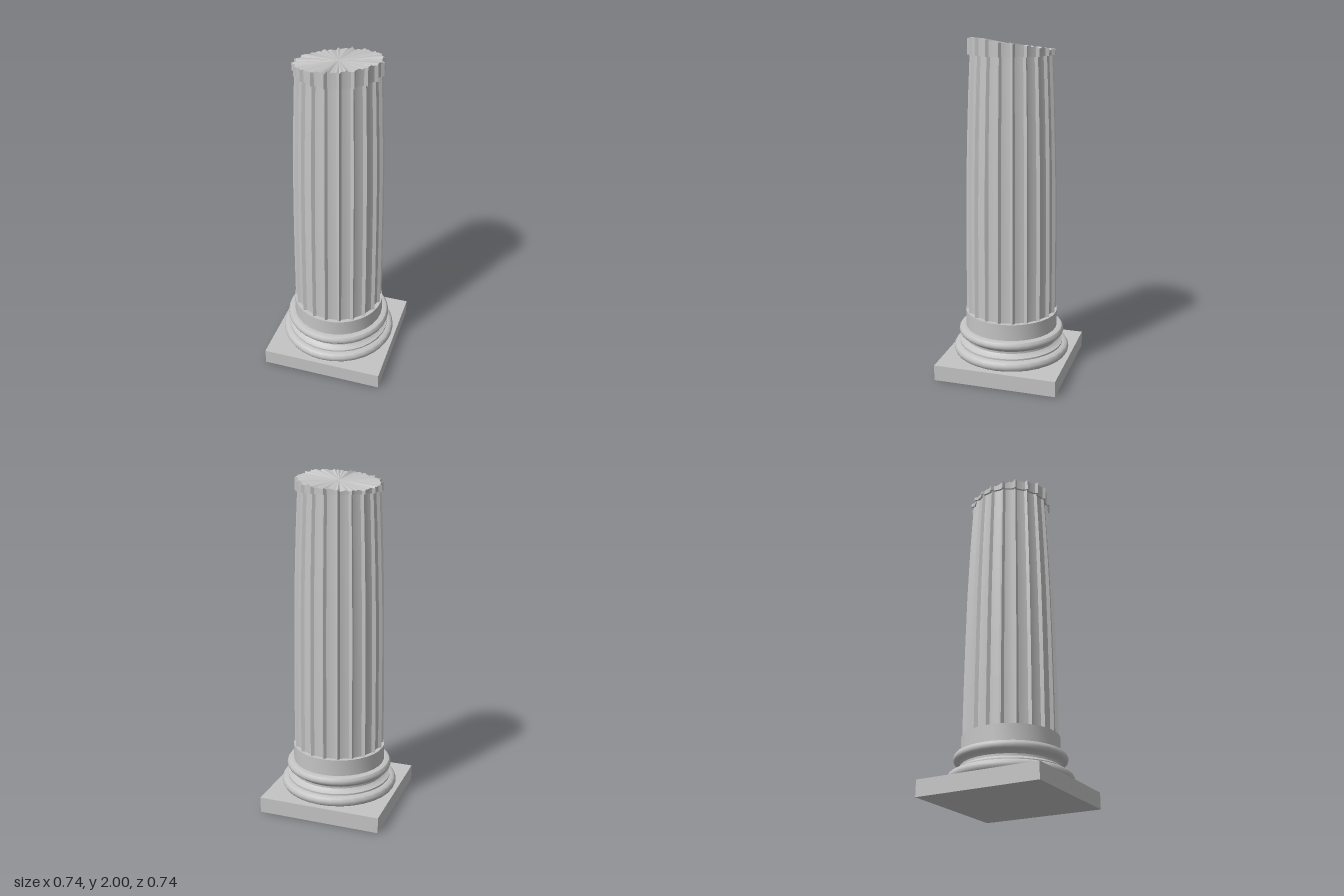
import * as THREE from 'three';
import { toCreasedNormals } from 'three/addons/utils/BufferGeometryUtils.js';

const FLUTES = 20, STEPS = 6, N = FLUTES * STEPS;

// Small seeded generator for the broken edge
function seeded(seed) {
  return () => {
    seed = (seed * 16807) % 2147483647;
    return seed / 2147483647;
  };
}

// Radius of a fluted section: sharp arrises at r, hollows cut in by depth
function fluted(i, r, depth) {
  const u = (i % STEPS) / STEPS * 2 - 1;
  return r - depth * Math.sqrt(Math.max(0, 1 - u * u * (0.5 + 0.5 * u * u)));
}

// Skin between rings; each ring is i => [radius, height]
function loft(rings) {
  const pos = [], idx = [];
  for (const ring of rings) {
    for (let i = 0; i < N; i++) {
      const [r, y] = ring(i), a = i / N * Math.PI * 2;
      pos.push(r * Math.cos(a), y, r * Math.sin(a));
    }
  }
  for (let j = 0; j < rings.length - 1; j++) {
    for (let i = 0; i < N; i++) {
      const a = j * N + i, b = j * N + (i + 1) % N, c = a + N, d = b + N;
      idx.push(a, c, b);
      if (j < rings.length - 2 || !rings.closed) idx.push(b, c, d);
    }
  }
  const geo = new THREE.BufferGeometry();
  geo.setAttribute('position', new THREE.Float32BufferAttribute(pos, 3));
  geo.setIndex(idx);
  return toCreasedNormals(geo, 0.5);
}

export function createModel() {
  const group = new THREE.Group();
  const stone = new THREE.MeshStandardMaterial({ color: 0xc4c4c4 });
  stone.name = 'grey stone';
  const add = (name, geo) => {
    const mesh = new THREE.Mesh(geo, stone);
    mesh.name = name;
    group.add(mesh);
    return mesh;
  };

  // Square plinth
  add('plinth', new THREE.BoxGeometry(0.74, 0.095, 0.74)).position.y = 0.0475;

  // Moulded base: lower torus, scotia, upper torus, plain drum
  const profile = [
    [0.33, 0.094], [0.345, 0.103], [0.353, 0.118], [0.353, 0.132], [0.345, 0.147], [0.33, 0.155],
    [0.315, 0.156], [0.315, 0.166], [0.295, 0.173], [0.283, 0.186], [0.283, 0.198], [0.292, 0.21],
    [0.305, 0.215], [0.315, 0.222], [0.321, 0.235], [0.319, 0.25], [0.31, 0.262], [0.298, 0.266],
    [0.279, 0.266], [0.279, 0.365], [0, 0.365],
  ].map(([x, y]) => new THREE.Vector2(x, y));
  add('mouldedBase', toCreasedNormals(new THREE.LatheGeometry(profile, 32), 0.6));

  // Fluted shaft, tapering with a slight swell
  const taper = [[0.273, 0.365], [0.272, 0.65], [0.269, 0.95], [0.264, 1.25], [0.256, 1.5], [0.248, 1.7], [0.238, 1.9]];
  add('flutedShaft', loft(taper.map(([r, y]) => i => [fluted(i, r, r * 0.075), y])));

  // Projecting band with a slanting, jagged break across its top
  const rand = seeded(77);
  const rim = Array.from({ length: N }, (_, i) => {
    const a = i / N * Math.PI * 2;
    const h = 1.958 + 0.026 * Math.cos(a) + 0.028 * Math.sin(a) + (rand() - 0.5) * 0.012;
    return Math.min(2, h);
  });
  rim[15] = 2;
  const band = i => fluted(i, 0.252, 0.019);
  add('brokenBand', loft([
    i => [fluted(i, 0.225, 0.017), 1.9],
    i => [band(i), 1.9],
    i => [band(i), rim[i]],
  ]));
  const fan = [i => [band(i), rim[i]], () => [0, 1.958]];
  fan.closed = true;
  add('brokenTop', loft(fan));

  return group;
}
